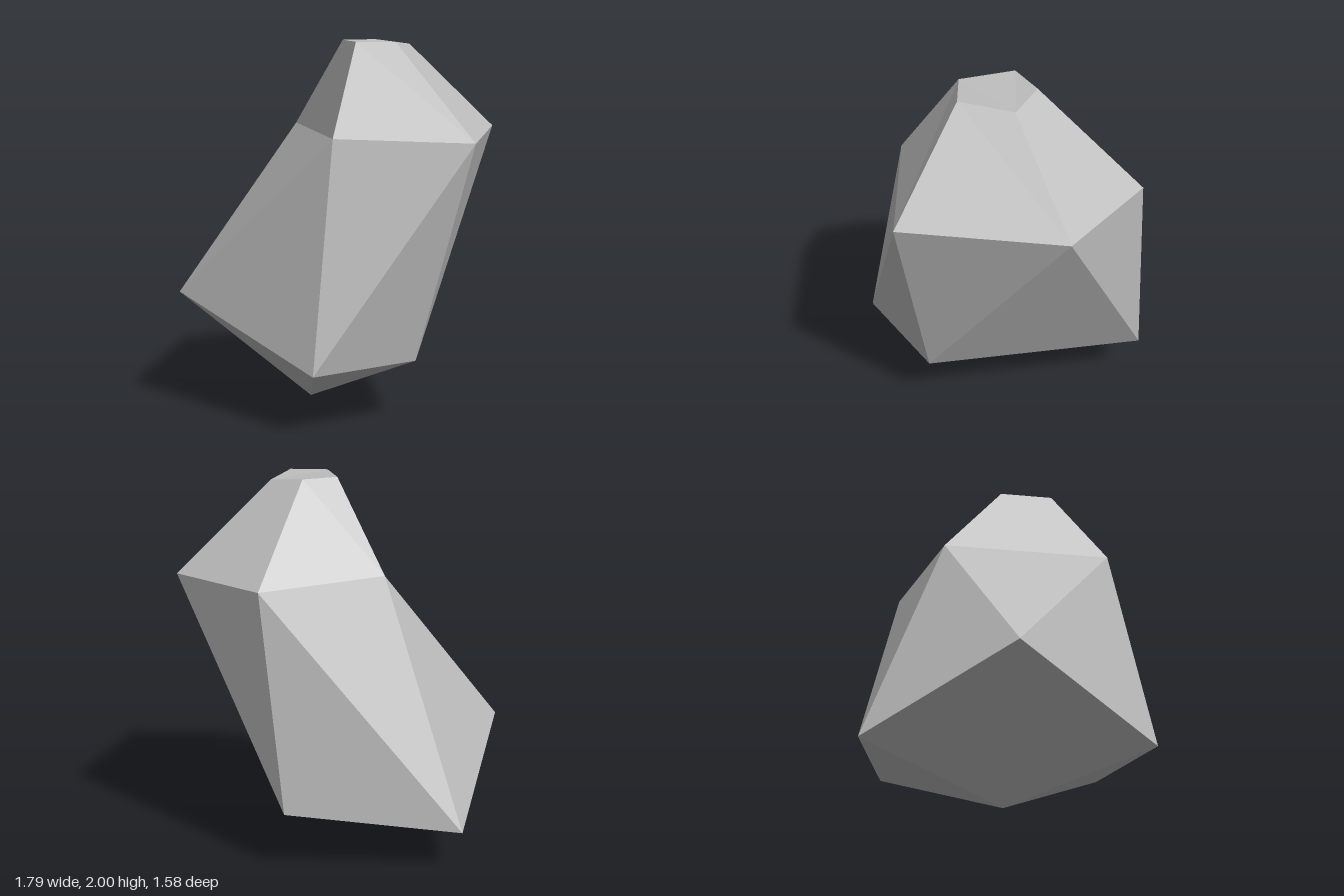
import * as THREE from 'three';

export function createModel() {
  const group = new THREE.Group();
  group.name = 'rock';
  const stone = new THREE.MeshStandardMaterial({ color: 0xbdbdbd });
  stone.name = 'grey stone';

  // Five-sided cross-sections, each running from +x towards +z
  const crown = [[0.36, 1.98, 0.11], [0.21, 2, 0.37], [0.01, 2, 0.31], [0.01, 2, 0.01], [0.21, 2, -0.05]];
  const shoulder = [[0.89, 1.51, -0.02], [0.52, 1.5, 0.79], [-0.18, 1.52, 0.59], [-0.18, 1.52, -0.34], [0.52, 1.5, -0.53]];
  const base = [[0.27, 0.33, 0.59], [-0.33, 0.33, 0.79], [-0.9, 0.63, -0.04], [-0.51, 0.22, -0.79], [0.41, 0.32, -0.61]];
  const tip = [-0.17, 0, -0.01];

  // Builds one faceted part from a list of triangles
  const addPart = (name, triangles) => {
    const geometry = new THREE.BufferGeometry();
    geometry.setAttribute('position', new THREE.Float32BufferAttribute(triangles.flat(2), 3));
    geometry.computeVertexNormals();
    const mesh = new THREE.Mesh(geometry, stone);
    mesh.name = name;
    group.add(mesh);
  };

  const top = [], slopes = [], sides = [], underside = [];
  for (let i = 0; i < 5; i++) {
    const j = (i + 1) % 5;
    if (i > 0 && i < 4) top.push([crown[0], crown[j], crown[i]]);
    slopes.push([shoulder[i], crown[i], crown[j]], [shoulder[i], crown[j], shoulder[j]]);
    // Base corners sit between shoulder corners, so the sides zigzag
    sides.push([base[i], shoulder[i], shoulder[j]], [base[i], shoulder[j], base[j]]);
    underside.push([tip, base[i], base[j]]);
  }
  addPart('topFacet', top);
  addPart('upperSlopes', slopes);
  addPart('sideFacets', sides);
  addPart('underside', underside);
  return group;
}
